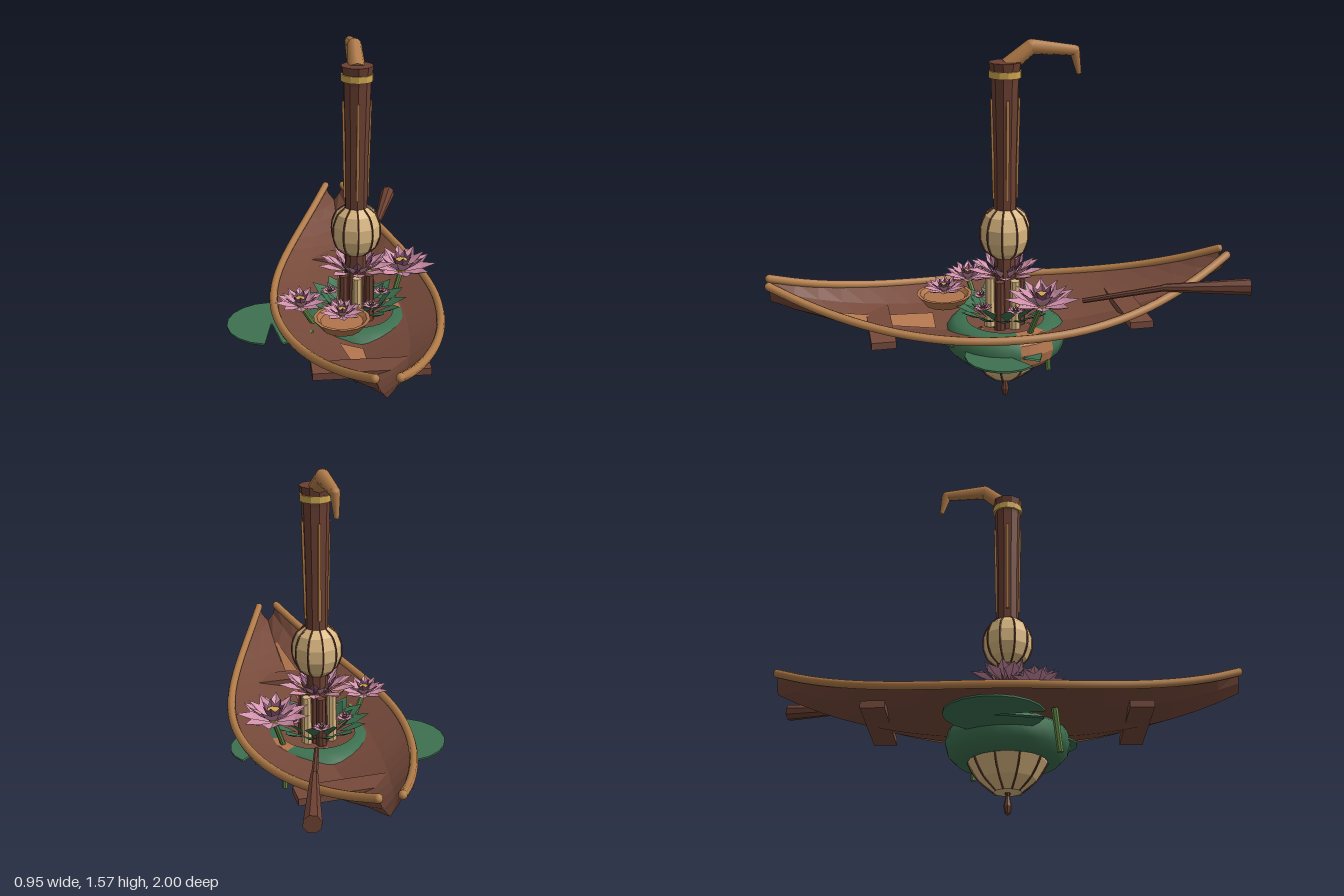
import * as THREE from 'three';

const mat = (name, color, extra = {}) => {
  const m = new THREE.MeshStandardMaterial({ color, flatShading: true, side: THREE.DoubleSide, ...extra });
  m.name = name;
  return m;
};
const V = (x, y, z) => new THREE.Vector3(x, y, z);
const CX = 0.09; // centre line of the boat and mast

export function createModel() {
  const root = new THREE.Group();
  const hullWood = mat('hull wood', 0x75493a);
  const mastWood = mat('mast wood', 0x6b4032);
  const railWood = mat('rail wood', 0xb17b48, { flatShading: false });
  const paper = mat('lantern paper', 0xdab881);
  const gold = mat('gold', 0xcfa650);
  const leafGreen = mat('leaf green', 0x3d7050, { flatShading: false });
  const stemGreen = mat('stem green', 0x648a48);
  const pink = mat('petal pink', 0xcf8ea8);
  const plum = mat('petal plum', 0x84506c);
  const clay = mat('clay', 0xb0744c);

  const add = (name, geo, m, x = 0, y = 0, z = 0, parent = root) => {
    const mesh = new THREE.Mesh(geo, m);
    mesh.name = name;
    mesh.position.set(x, y, z);
    parent.add(mesh);
    return mesh;
  };
  const surface = (pts, idx) => {
    const g = new THREE.BufferGeometry();
    g.setAttribute('position', new THREE.Float32BufferAttribute(pts, 3));
    g.setIndex(idx);
    g.computeVertexNormals();
    return g;
  };
  const lathe = (pts, n, a = 0, len = Math.PI * 2) =>
    new THREE.LatheGeometry(pts.map(p => new THREE.Vector2(...p)), n, a, len);
  // tapered round bar between two points
  const bar = (name, a, b, ra, rb, m, sides = 8) => {
    const d = b.clone().sub(a);
    const mesh = add(name, new THREE.CylinderGeometry(rb, ra, d.length(), sides), m);
    mesh.position.copy(a).addScaledVector(d, 0.5);
    mesh.quaternion.setFromUnitVectors(V(0, 1, 0), d.normalize());
    return mesh;
  };

  // Hull: cross-sections swept along z
  const lift = z => Math.pow(Math.abs(z), 2.5);
  const halfWidth = z => 0.035 + 0.325 * Math.cos(z * Math.PI / 2);
  const rimY = z => 0.428 + 0.187 * lift(z);
  const keelY = z => 0.33 + 0.205 * lift(z);
  const N = 20, pts = [], idx = [];
  for (let i = 0; i <= N; i++) {
    const z = -0.98 + 1.96 * i / N, w = halfWidth(z), r = rimY(z), k = keelY(z);
    for (const s of [-1, -0.6, 0, 0.6, 1]) {
      const t = s === 0 ? 0 : Math.abs(s) === 1 ? 1 : 0.45;
      pts.push(CX + s * w, k + (r - k) * t, z);
    }
    if (i < N) for (let j = 0; j < 4; j++) {
      const a = i * 5 + j, b = a + 5;
      idx.push(a, b, a + 1, a + 1, b, b + 1);
    }
  }
  add('hull', surface(pts, idx), hullWood);

  // Rails along both rims
  for (const s of [-1, 1]) {
    const path = Array.from({ length: 17 }, (_, i) => {
      const z = -0.98 + 1.96 * i / 16;
      return V(CX + s * halfWidth(z), rimY(z), z);
    });
    add('rail', new THREE.TubeGeometry(new THREE.CatmullRomCurve3(path), 40, 0.018, 8), railWood);
    for (const e of [0, 16]) add('railEnd', new THREE.SphereGeometry(0.018, 8, 6), railWood, ...path[e].toArray());
  }

  // Seats and floor plank
  for (const z of [-0.54, 0.54]) add('seat', new THREE.BoxGeometry(0.47, 0.03, 0.1), hullWood, CX, 0.392, z);
  const plank = [];
  for (const [z, a] of [[0.3, 0.1], [0.55, 0.06], [0.82, 0.01]])
    plank.push(CX - a, keelY(z) + 0.008 + a * 0.28, z, CX, keelY(z) + 0.006, z);
  add('floorPlank', surface(plank, [0, 2, 1, 1, 2, 3, 2, 4, 3, 3, 4, 5]), clay);

  // Ribbed lanterns
  const lantern = (name, profile) => {
    const g = new THREE.Group();
    g.name = name;
    g.position.set(CX, 0, 0);
    root.add(g);
    add('lanternShade', lathe(profile, 10), paper, 0, 0, 0, g);
    for (let i = 0; i < 10; i++) {
      const a = i * Math.PI / 5;
      const path = new THREE.CatmullRomCurve3(profile.filter(p => p[0] > 0).map(([r, y]) => V(r * Math.sin(a), y, r * Math.cos(a))));
      add('lanternRib', new THREE.TubeGeometry(path, 12, 0.004, 4), mastWood, 0, 0, 0, g);
    }
  };
  lantern('lowerLantern', [[0, 0.095], [0.06, 0.095], [0.12, 0.145], [0.165, 0.22], [0.165, 0.3], [0.1, 0.335]]);
  lantern('upperLantern', [[0.05, 0.655], [0.085, 0.685], [0.104, 0.735], [0.104, 0.79], [0.085, 0.84], [0.05, 0.868]]);
  add('bottomTip', lathe([[0, 0], [0.012, 0.01], [0.018, 0.04], [0.008, 0.08], [0.014, 0.1]], 8), mastWood, CX + 0.008, 0, 0);

  // Green float ring with a clay patch
  const ring = [[0.165, 0.22], [0.215, 0.22], [0.25, 0.255], [0.262, 0.3], [0.25, 0.345], [0.215, 0.372], [0.165, 0.372]];
  const p0 = 1.64, pl = 0.62;
  add('floatRing', lathe(ring, 22, p0 + pl, Math.PI * 2 - pl), leafGreen, CX, 0, 0);
  add('floatPatch', lathe(ring, 4, p0, pl), clay, CX, 0, 0);

  // Lily pads with a notch, and hanging stems
  for (const [x, z, r, a] of [[-0.28, -0.05, 0.2, 0.2], [0.31, 0.05, 0.16, 2.6], [0.1, 0.17, 0.12, 4]]) {
    const pad = add('lilyPad', new THREE.CylinderGeometry(r, r, 0.008, 18, 1, false, a, 5.9), leafGreen, x, 0.3, z);
    pad.material = leafGreen;
  }
  bar('hangingStem', V(-0.125, 0.38, 0.19), V(-0.113, 0.2, 0.21), 0.015, 0.013, stemGreen);
  bar('hangingStem', V(0.27, 0.36, -0.14), V(0.275, 0.2, -0.15), 0.013, 0.012, stemGreen);

  // Pointed leaf or petal along +z, folded on its spine
  const blade = (l, w, fold) => surface(
    [0, 0, 0, -w, fold, l * 0.55, 0, 0, l * 0.55, w, fold, l * 0.55, 0, fold, l],
    [0, 2, 1, 0, 3, 2, 1, 2, 4, 2, 3, 4]);
  const whorl = (parent, name, n, l, w, pitch, offset, m, turn = 0) => {
    const geo = blade(l, w, l * 0.1);
    for (let i = 0; i < n; i++) {
      const a = turn + i * Math.PI * 2 / n;
      const b = add(name, geo, m, offset * Math.sin(a), 0, offset * Math.cos(a), parent);
      b.rotation.set(-pitch, a, 0, 'YXZ');
    }
  };
  const group = (name, x, y, z) => {
    const g = new THREE.Group();
    g.name = name;
    g.position.set(x, y, z);
    root.add(g);
    return g;
  };
  const crown = group('leafCrown', CX, 0.39, 0);
  whorl(crown, 'crownLeaf', 14, 0.14, 0.04, 0.35, 0.1, leafGreen);
  whorl(crown, 'crownLeaf', 10, 0.1, 0.035, 0.75, 0.09, leafGreen, 0.2);

  // Water lilies
  const lily = (x, y, z, r, offset = 0, core = true) => {
    const g = group('waterLily', x, y, z);
    whorl(g, 'outerPetal', 9, r, r * 0.25, 0.2, offset, pink);
    whorl(g, 'middlePetal', 9, r * 0.85, r * 0.2, 0.6, offset, pink, 0.35);
    whorl(g, 'innerPetal', 7, r * 0.62, r * 0.15, 0.95, offset, plum);
    if (core) add('lilyCore', new THREE.CylinderGeometry(r * 0.17, r * 0.12, r * 0.35, 8), gold, 0, r * 0.2, 0, g);
  };
  lily(0.31, 0.5, -0.11, 0.165);
  lily(-0.16, 0.46, 0.12, 0.12);
  lily(0.005, 0.475, 0.25, 0.1);
  lily(CX, 0.57, 0, 0.13, 0.045, false);
  for (let i = 0; i < 5; i++) {
    const a = 0.5 + i * Math.PI * 0.4;
    lily(CX + 0.12 * Math.sin(a), 0.44, 0.12 * Math.cos(a), 0.045);
  }
  bar('lilyStem', V(0.26, 0.36, -0.07), V(0.31, 0.51, -0.11), 0.012, 0.012, stemGreen);
  bar('lilyStem', V(-0.1, 0.36, 0.09), V(-0.16, 0.47, 0.12), 0.012, 0.012, stemGreen);

  // Bowl under the front lily
  add('bowl', lathe([[0, 0.425], [0.085, 0.425], [0.12, 0.47], [0.105, 0.47], [0.09, 0.455], [0, 0.455]], 14), clay, 0.005, 0, 0.25);

  // Mast, supporting posts and collars
  add('mastFoot', new THREE.CylinderGeometry(0.045, 0.055, 0.34, 10), mastWood, CX, 0.5, 0);
  for (let i = 0; i < 6; i++) {
    const a = i * Math.PI / 3;
    add('post', new THREE.CylinderGeometry(0.02, 0.024, 0.22, 8), i % 2 ? mastWood : paper, CX + 0.065 * Math.sin(a), 0.45, 0.065 * Math.cos(a));
  }
  add('mast', lathe([[0, 0.85], [0.048, 0.86], [0.05, 1.1], [0.058, 1.4], [0.062, 1.44], [0.068, 1.478], [0, 1.478]], 10), mastWood, CX, 0, 0);
  add('goldCollar', new THREE.CylinderGeometry(0.067, 0.067, 0.028, 12), gold, CX, 1.43, 0);
  for (let i = 0; i < 4; i++) {
    const a = i * Math.PI / 2;
    const strip = add('mastStrip', new THREE.BoxGeometry(0.012, 0.42, 0.009), railWood, CX + 0.053 * Math.sin(a), 1.12, 0.053 * Math.cos(a));
    strip.rotation.set(0.02, a, 0, 'YXZ');
  }

  // Hook at the mast top
  const hook = [V(CX, 1.46, -0.01), V(CX, 1.535, -0.105), V(CX, 1.515, -0.285), V(CX, 1.42, -0.305)];
  const hr = [0.036, 0.031, 0.022, 0.01];
  for (let i = 0; i < 3; i++) {
    bar('hook', hook[i], hook[i + 1], hr[i], hr[i + 1], railWood);
    if (i) add('hookJoint', new THREE.SphereGeometry(hr[i], 8, 6), railWood, ...hook[i].toArray());
  }

  // Oar over the stern
  bar('oarShaft', V(0.18, 0.46, -0.32), V(0.28, 0.535, -0.66), 0.011, 0.014, mastWood);
  bar('oarBlade', V(0.275, 0.533, -0.64), V(0.375, 0.55, -0.99), 0.016, 0.036, mastWood);
  return root;
}
